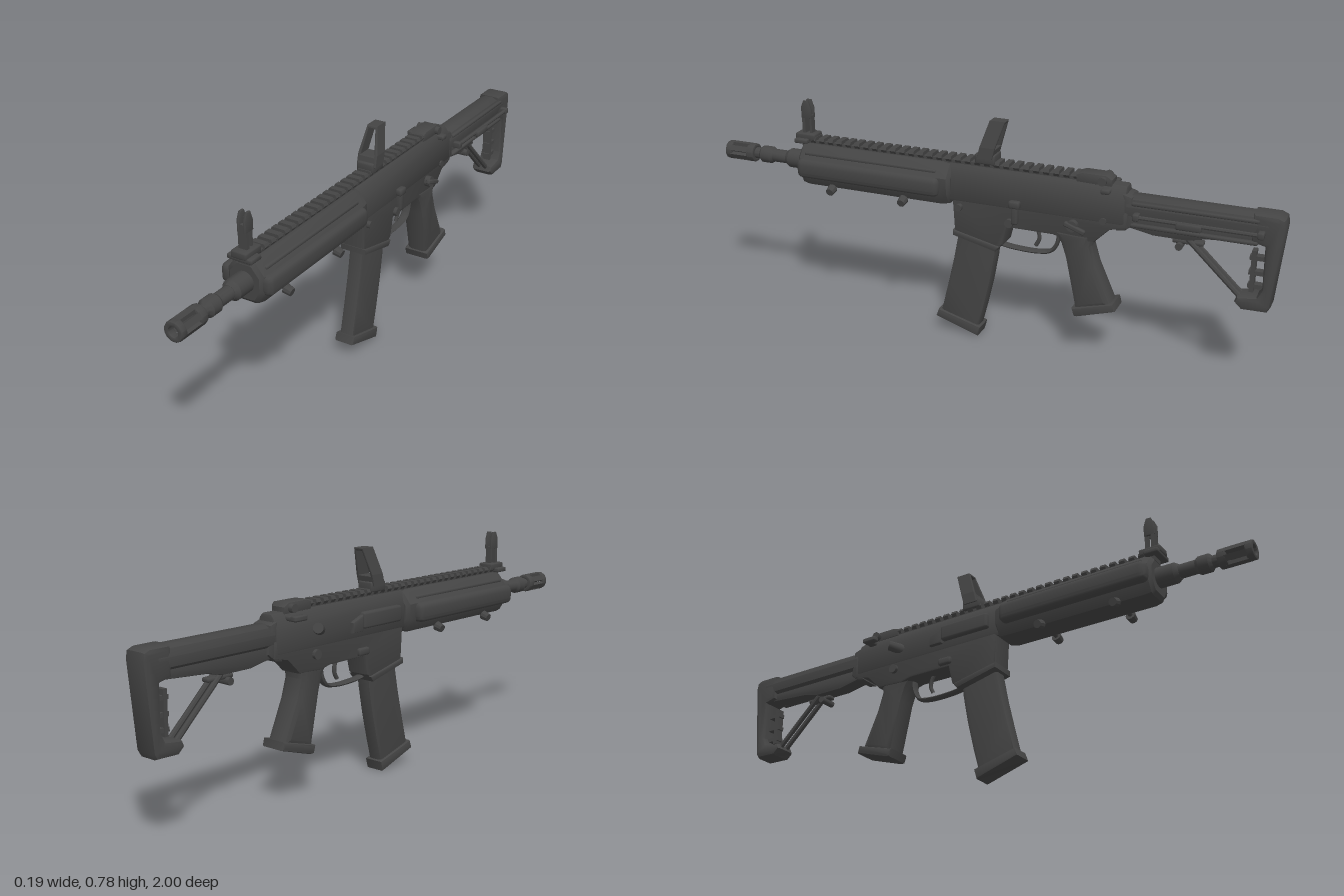
import * as THREE from 'three';
import { toCreasedNormals } from 'three/addons/utils/BufferGeometryUtils.js';
import { RoundedBoxGeometry } from 'three/addons/geometries/RoundedBoxGeometry.js';

export function createModel() {
  const root = new THREE.Group();
  root.name = 'carbine';
  const gunmetal = new THREE.MeshStandardMaterial({ color: 0x444444 });
  gunmetal.name = 'gunmetal';

  const add = (name, geo) => {
    const mesh = new THREE.Mesh(toCreasedNormals(geo, 0.6), gunmetal);
    mesh.name = name;
    root.add(mesh);
    return mesh;
  };
  const extrude = (pts, depth, bevel, thick = bevel, hole) => {
    const shape = new THREE.Shape(pts.map(p => new THREE.Vector2(...p)));
    if (hole) shape.holes.push(new THREE.Path(hole.map(p => new THREE.Vector2(...p))));
    const geo = new THREE.ExtrudeGeometry(shape, {
      depth: depth - 2 * thick, bevelEnabled: bevel > 0, bevelSize: bevel,
      bevelThickness: thick, bevelOffset: -bevel, bevelSegments: 2, curveSegments: 12,
    });
    return geo.translate(0, 0, thick - depth / 2);
  };
  // Side profile of [z, y] points, extruded across x
  const side = (name, pts, width, bevel = 0.008, x = 0, hole) =>
    add(name, extrude(pts, width, bevel, bevel, hole).rotateY(-Math.PI / 2).translate(x, 0, 0));
  // Cross-section of [x, y] points, extruded along z
  const along = (name, pts, z0, z1, bevel = 0, thick = bevel, hole) =>
    add(name, extrude(pts, z1 - z0, bevel, thick, hole).translate(0, 0, (z0 + z1) / 2));
  const box = (name, x, y, z, w, h, d, r = 0) => add(name,
    (r ? new RoundedBoxGeometry(w, h, d, 2, r) : new THREE.BoxGeometry(w, h, d)).translate(x, y, z));
  // Round part between two points
  const rod = (name, a, b, r0, r1 = r0, sides = 16) => {
    const from = new THREE.Vector3(...a), to = new THREE.Vector3(...b);
    const dir = to.clone().sub(from);
    const geo = new THREE.CylinderGeometry(r1, r0, dir.length(), sides);
    geo.applyQuaternion(new THREE.Quaternion().setFromUnitVectors(new THREE.Vector3(0, 1, 0), dir.normalize()));
    return add(name, geo.translate(...from.add(to).multiplyScalar(0.5).toArray()));
  };
  const mirrored = pts => [...pts, ...pts.map(([x, y]) => [-x, y]).reverse()];
  const ring = (r, n = 12) => Array.from({ length: n }, (_, i) =>
    [r * Math.cos((i + 0.5) / n * 2 * Math.PI), 0.547 + r * Math.sin((i + 0.5) / n * 2 * Math.PI)]);
  const axis = 0.547;

  // Barrel: [start z, end z, start radius, end radius]
  for (const [z0, z1, r0, r1] of [
    [0.64, 0.74, 0.034, 0.034], [0.74, 0.755, 0.034, 0.024], [0.755, 0.81, 0.023, 0.023],
    [0.81, 0.82, 0.023, 0.03], [0.82, 0.855, 0.03, 0.03], [0.855, 0.865, 0.03, 0.02], [0.865, 0.895, 0.02, 0.02],
  ]) rod('barrel', [0, axis, z0], [0, axis, z1], r0, r1, 20);
  // Slotted muzzle
  along('muzzleRearRing', ring(0.033), 0.885, 0.915, 0.004, 0.004, ring(0.017));
  along('muzzleFrontRing', ring(0.033), 0.975, 1.0, 0.004, 0.004, ring(0.017));
  for (let i = 0; i < 6; i++) {
    const a = (i + 0.5) / 6 * Math.PI * 2;
    const geo = new THREE.BoxGeometry(0.013, 0.02, 0.075).translate(0.025, 0, 0);
    add('muzzleProng', geo.rotateZ(a).translate(0, axis, 0.945));
  }

  // Handguard: tapered core with a long rounded panel on each side
  along('handguard', mirrored([[0.03, 0.472], [0.045, 0.477], [0.07, 0.52], [0.07, 0.575], [0.04, 0.612], [0.03, 0.62]]),
    0.10, 0.68, 0.018, 0.035);
  for (const s of [-1, 1]) {
    box('handguardPanel', s * 0.066 - 0.004, 0.543, 0.403, 0.054, 0.068, 0.54, 0.02);
    box('handguardRib', s * 0.045, 0.592, 0.4, 0.03, 0.012, 0.5, 0.004);
    for (const z of [0.55, 0.275]) {
      rod('studStem', [s * 0.03, 0.485, z], [s * 0.06, 0.472, z], 0.008);
      rod('studKnob', [s * 0.05, 0.475, z], [s * 0.075, 0.467, z], 0.017, 0.014, 10);
    }
  }

  // Top rail with cross slots
  box('railBase', 0, 0.617, 0.14, 0.042, 0.026, 1.08);
  for (let i = 0; i < 29; i++)
    along('railTooth', mirrored([[0.021, 0.622], [0.028, 0.632], [0.023, 0.642]]),
      0.625 - i * 0.0345, 0.645 - i * 0.0345);

  // Receivers
  along('upperReceiver', mirrored([[0.04, 0.49], [0.045, 0.50], [0.045, 0.575], [0.03, 0.61], [0.02, 0.62]]),
    -0.5, 0.12, 0.008);
  side('lowerReceiver', [[0.1, 0.53], [0.09, 0.375], [-0.06, 0.34], [-0.085, 0.36], [-0.1, 0.425], [-0.26, 0.425],
    [-0.3, 0.415], [-0.4, 0.42], [-0.45, 0.47], [-0.51, 0.485], [-0.51, 0.54]], 0.086);
  side('magazineWellLip', [[0.095, 0.39], [0.095, 0.37], [-0.06, 0.333], [-0.075, 0.352]], 0.098, 0.005);
  side('receiverEndPlate', [[-0.49, 0.6], [-0.52, 0.59], [-0.53, 0.5], [-0.5, 0.475], [-0.47, 0.47]], 0.08);

  // Controls on the left side
  box('boltLever', 0.046, 0.485, -0.13, 0.026, 0.08, 0.022, 0.006);
  box('boltLeverPad', 0.052, 0.515, -0.13, 0.024, 0.025, 0.038, 0.006);
  rod('magazineButton', [0.035, 0.445, -0.11], [0.055, 0.445, -0.11], 0.015);
  rod('selectorHub', [0.035, 0.472, -0.33], [0.062, 0.472, -0.33], 0.019);
  const selector = box('selectorLever', 0.06, 0, 0, 0.016, 0.016, 0.075, 0.005);
  selector.position.set(0, 0.468, -0.34);
  selector.rotation.x = -0.35;
  rod('takedownPin', [0.03, 0.5, -0.43], [0.05, 0.5, -0.43], 0.012);
  rod('pivotPin', [0.03, 0.475, 0.07], [0.058, 0.475, 0.07], 0.012);

  // Ejection port, deflector and controls on the right side
  box('portCover', -0.048, 0.55, -0.025, 0.03, 0.055, 0.19, 0.008);
  side('shellDeflector', [[-0.12, 0.57], [-0.17, 0.55], [-0.17, 0.515], [-0.12, 0.515]], 0.03, 0.006, -0.045);
  rod('forwardButton', [-0.03, 0.545, -0.3], [-0.065, 0.56, -0.34], 0.02, 0.017);
  rod('selectorHub', [-0.035, 0.472, -0.33], [-0.055, 0.472, -0.33], 0.016);
  box('releasePad', -0.045, 0.445, -0.11, 0.02, 0.025, 0.05, 0.006);

  // Charging handle and rear sight base
  box('chargingHandle', -0.008, 0.602, -0.435, 0.128, 0.016, 0.03, 0.005);
  box('chargingLatch', -0.066, 0.603, -0.425, 0.026, 0.018, 0.055, 0.006);
  side('rearSightBase', [[-0.33, 0.615], [-0.33, 0.64], [-0.35, 0.648], [-0.43, 0.648], [-0.45, 0.635], [-0.45, 0.612]],
    0.056, 0.005);
  rod('rearSightKnob', [-0.045, 0.63, -0.42], [0.042, 0.63, -0.42], 0.014);

  // Magazine
  side('magazine', [[0.08, 0.42], [0.085, 0.36], [0.102, 0.27], [0.125, 0.17], [0.153, 0.055], [0.012, 0.018],
    [-0.012, 0.11], [-0.035, 0.21], [-0.053, 0.31], [-0.062, 0.42]], 0.054, 0.01, 0.005);
  side('magazineFloor', [[0.155, 0.078], [0.165, 0.05], [0.008, 0], [-0.002, 0.035]], 0.074, 0.006, 0.005);

  // Trigger and guard
  const curve = pts => new THREE.CatmullRomCurve3(pts.map(([z, y]) => new THREE.Vector3(0, y, z)));
  add('triggerGuard', new THREE.TubeGeometry(curve([[-0.06, 0.35], [-0.1, 0.343], [-0.2, 0.341], [-0.245, 0.352],
    [-0.265, 0.385], [-0.27, 0.42]]), 30, 0.007, 8).scale(2.2, 1, 1));
  add('trigger', new THREE.TubeGeometry(curve([[-0.18, 0.44], [-0.197, 0.41], [-0.2, 0.385], [-0.188, 0.36]]),
    12, 0.007, 8));

  // Pistol grip
  side('grip', [[-0.255, 0.45], [-0.285, 0.4], [-0.302, 0.35], [-0.342, 0.165], [-0.47, 0.2], [-0.41, 0.335],
    [-0.39, 0.4], [-0.4, 0.45]], 0.084, 0.022, 0.003);
  side('gripBase', [[-0.333, 0.175], [-0.342, 0.148], [-0.355, 0.148], [-0.482, 0.188], [-0.475, 0.215]],
    0.096, 0.008, 0.003);

  // Shoulder stock
  along('stockTube', mirrored([[0.022, 0.515], [0.04, 0.53], [0.044, 0.56], [0.034, 0.583], [0.016, 0.592]]),
    -0.95, -0.5, 0.004);
  side('stockSpine', [[-0.5, 0.53], [-0.5, 0.485], [-0.59, 0.468], [-0.7, 0.468], [-0.76, 0.482], [-0.94, 0.495],
    [-0.94, 0.53]], 0.058, 0.008);
  side('buttFrame', [[-0.9, 0.594], [-0.975, 0.594], [-0.995, 0.585], [-1, 0.56], [-0.975, 0.29], [-0.965, 0.272],
    [-0.885, 0.27], [-0.862, 0.292], [-0.87, 0.312], [-0.93, 0.32], [-0.945, 0.35], [-0.942, 0.49], [-0.9, 0.5]],
  0.086, 0.014);
  for (const x of [-0.014, 0.014]) rod('stockStrut', [x, 0.47, -0.7], [x, 0.295, -0.885], 0.009, 0.009, 8);
  box('stockInnerPost', 0, 0.395, -0.908, 0.03, 0.14, 0.014);
  for (const y of [0.345, 0.39, 0.44]) box('stockInnerLug', 0, y, -0.92, 0.026, 0.014, 0.05);
  rod('adjustPin', [-0.03, 0.445, -0.675], [0.03, 0.445, -0.675], 0.012);
  box('adjustLever', 0, 0.458, -0.7, 0.03, 0.014, 0.1, 0.005);
  // Rails and sling rod on the left of the stock
  for (const y of [0.572, 0.5]) box('stockRail', 0.038, y, -0.72, 0.018, 0.012, 0.4, 0.004);
  rod('slingRod', [0.058, 0.535, -0.53], [0.058, 0.535, -0.94], 0.007, 0.007, 8);
  for (const z of [-0.54, -0.93]) box('slingMount', 0.053, 0.535, z, 0.03, 0.022, 0.02, 0.004);
  box('slingClip', 0.064, 0.53, -0.71, 0.02, 0.022, 0.08, 0.005);

  // Flip-up aiming frame, leaning back
  const frame = along('aimingFrame', mirrored([[0.036, 0.65], [0.036, 0.69], [0.019, 0.78]]), -0.042, 0.012, 0.003, 0.003,
    mirrored([[0.026, 0.685], [0.013, 0.77]]));
  const p = frame.geometry.attributes.position;
  for (let i = 0; i < p.count; i++) p.setZ(i, p.getZ(i) - Math.max(0, p.getY(i) - 0.66) * 0.33);
  frame.geometry.computeVertexNormals();
  box('aimingFrameBase', 0, 0.648, -0.015, 0.062, 0.034, 0.07, 0.005);

  // Front sight
  box('frontSightFoot', 0, 0.628, 0.675, 0.088, 0.016, 0.05, 0.004);
  box('frontSightBase', 0, 0.641, 0.665, 0.056, 0.024, 0.075, 0.005);
  box('frontSightStem', 0, 0.69, 0.674, 0.03, 0.08, 0.012);
  box('frontSightBackStem', 0, 0.68, 0.649, 0.022, 0.07, 0.008);
  for (const s of [-1, 1])
    side('frontSightProng', [[0.682, 0.705], [0.682, 0.745], [0.672, 0.768], [0.655, 0.768], [0.645, 0.74], [0.645, 0.705]],
      0.009, 0.002, s * 0.011);
  rod('frontSightPost', [0, 0.71, 0.664], [0, 0.75, 0.664], 0.004, 0.003, 8);

  root.position.x = 0.004;
  return root;
}
